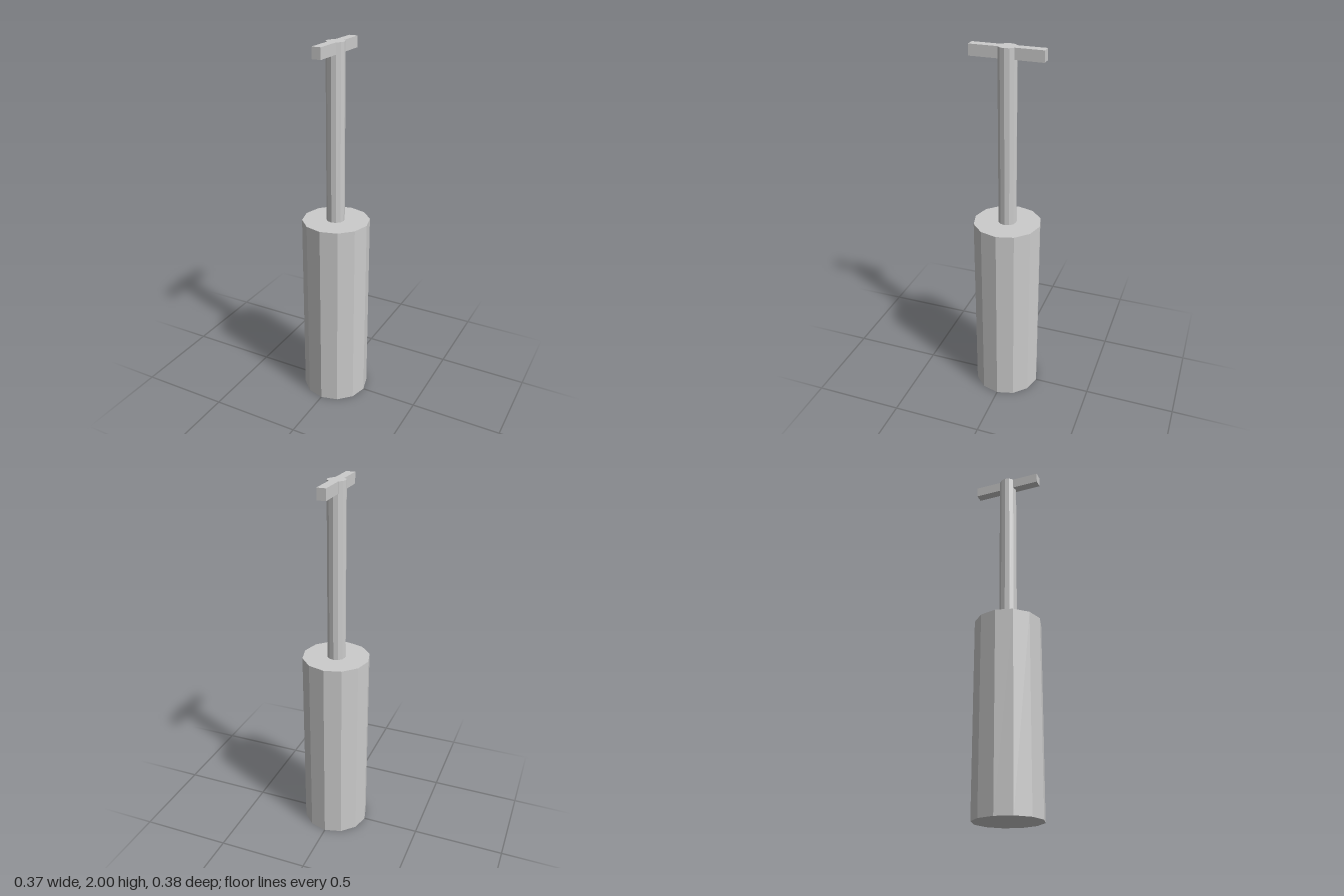
import * as THREE from 'three';

export function createModel() {
  const group = new THREE.Group();
  const material = new THREE.MeshStandardMaterial({ color: 0xcccccc, flatShading: true });

  const add = (name, geometry, x, y) => {
    const mesh = new THREE.Mesh(geometry, material);
    mesh.name = name;
    mesh.position.set(x, y, 0);
    group.add(mesh);
  };

  const bodyTop = 1.06, top = 2, rodX = -0.0025;
  const rodLength = top - bodyTop, handleHeight = 0.058;

  // twelve-sided barrel standing on the ground
  add('body', new THREE.CylinderGeometry(0.183, 0.183, bodyTop, 12), 0, bodyTop / 2);

  // plunger rod rising from the barrel
  add('rod', new THREE.CylinderGeometry(0.049, 0.049, rodLength, 12), rodX, bodyTop + rodLength / 2);

  // crossbar handle, flush with the top of the rod
  add('handle', new THREE.BoxGeometry(0.048, handleHeight, 0.384), rodX, top - handleHeight / 2);

  return group;
}
